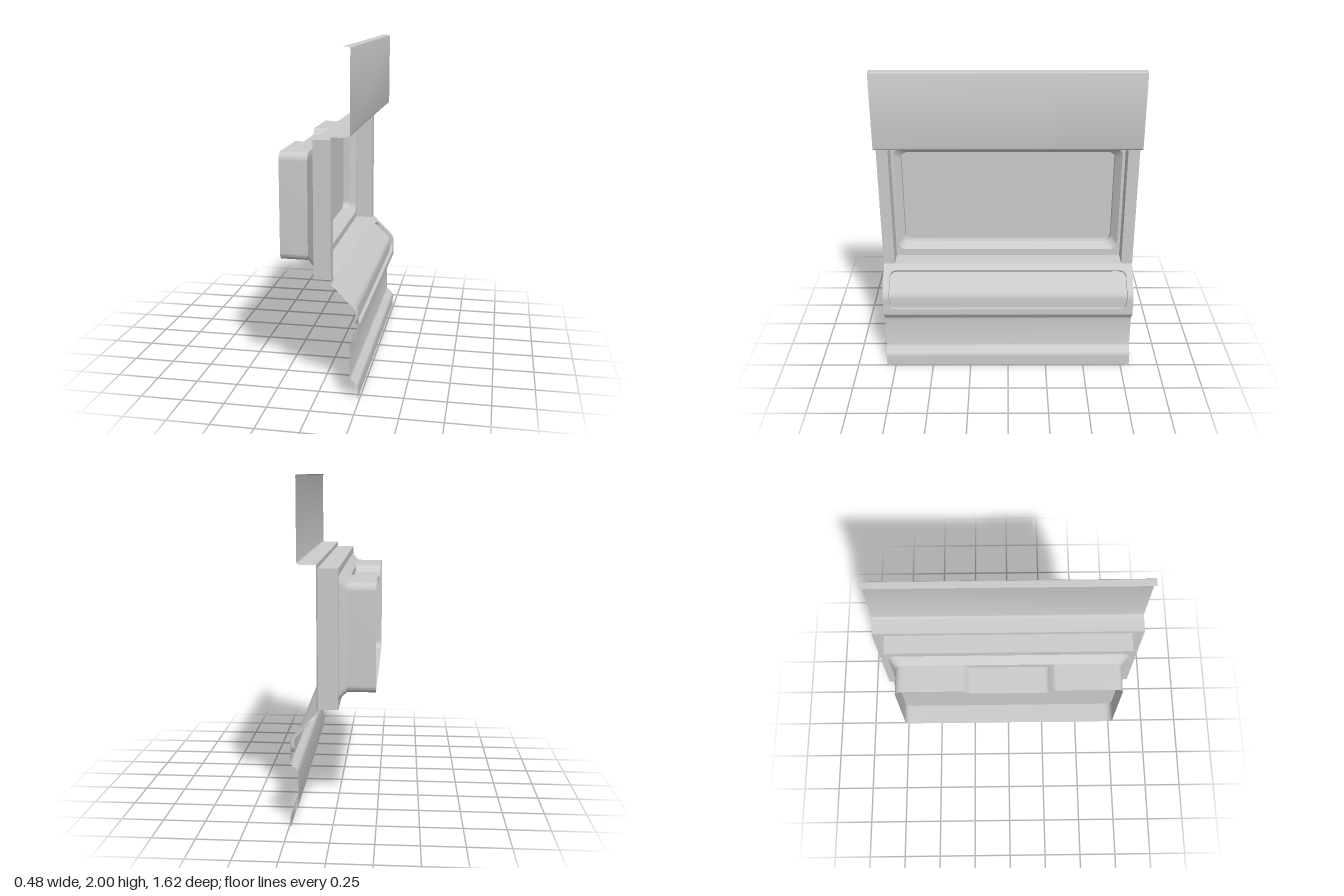
import * as THREE from 'three';
import { toCreasedNormals } from 'three/addons/utils/BufferGeometryUtils.js';

const HALF = 0.81; // half length of the sheet along z
const material = new THREE.MeshStandardMaterial({ color: 0xcccccc, side: THREE.DoubleSide });

// Skin a surface through rows of [x, y, z] points
function skin(rows) {
  const n = rows[0].length, index = [];
  for (let i = 0; i < rows.length - 1; i++) {
    for (let j = 0; j < n - 1; j++) {
      const a = i * n + j, b = a + n;
      index.push(a, b, a + 1, b, b + 1, a + 1);
    }
  }
  const g = new THREE.BufferGeometry();
  g.setAttribute('position', new THREE.Float32BufferAttribute(rows.flat(2), 3));
  g.setIndex(index);
  return toCreasedNormals(g, 0.5);
}

// Profile of [x, y, bendRadius] corners, with each bend rounded
function bend(corners) {
  const out = [];
  corners.forEach(([x, y, r], i) => {
    if (!r) return out.push([x, y]);
    const c = new THREE.Vector2(x, y);
    const toward = (k) => new THREE.Vector2(corners[k][0], corners[k][1]).sub(c).setLength(r).add(c);
    const curve = new THREE.QuadraticBezierCurve(toward(i - 1), c, toward(i + 1));
    curve.getPoints(6).forEach((p) => out.push([p.x, p.y]));
  });
  return out;
}

const ribbon = (corners) => skin(bend(corners).map(([x, y]) => [[x, y, HALF], [x, y, -HALF]]));

// Rounded rectangle outline in (z, y), optionally with a notch in its top edge
function outline(w, y0, y1, r, notch = false) {
  const s = new THREE.Shape();
  s.moveTo(-w + r, y0).lineTo(w - r, y0);
  s.absarc(w - r, y0 + r, r, -Math.PI / 2, 0);
  s.absarc(w - r, y1 - r, r, 0, Math.PI / 2);
  if (notch) {
    for (const [z, y, dx0, dy0, dx1, dy1] of [
      [0.27, y1, 0.012, 0, -0.008, -0.008], [0.23, y1 - 0.04, 0.008, 0.008, -0.012, 0],
      [-0.23, y1 - 0.04, 0.012, 0, -0.008, 0.008], [-0.27, y1, 0.008, -0.008, -0.012, 0],
    ]) s.lineTo(z + dx0, y + dy0).quadraticCurveTo(z, y, z + dx1, y + dy1);
  }
  s.absarc(-w + r, y1 - r, r, Math.PI / 2, Math.PI);
  s.absarc(-w + r, y0 + r, r, Math.PI, Math.PI * 1.5);
  return s;
}

const rect = (w, y0, y1) => new THREE.Shape([[-w, y0], [w, y0], [w, y1], [-w, y1]].map((p) => new THREE.Vector2(...p)));

// Flat plate facing +x
const plate = (shape, x) => new THREE.ShapeGeometry(shape, 8).rotateY(Math.PI / 2).translate(x, 0, 0);

// Closed wall running between two outlines at different depths
function wall(shapeA, xA, shapeB, xB) {
  const loop = (s, x) => {
    const pts = s.getPoints(8).map((p) => [x, p.y, -p.x]);
    return [...pts, pts[0]];
  };
  return skin([loop(shapeA, xA), loop(shapeB, xB)]);
}

export function createModel() {
  const model = new THREE.Group();
  const add = (name, geometry) => {
    const mesh = new THREE.Mesh(geometry, material);
    mesh.name = name;
    model.add(mesh);
  };

  // Folded sheet above and below the opening
  add('upperPanel', ribbon([[0.145, 2], [0.193, 2, 0.01], [0.193, 1.517, 0.022], [0.085, 1.517]]));
  add('lowerPanel', ribbon([[0.239, 0.4], [0.239, 0.385, 0.014], [0.193, 0.345, 0.02],
    [0.193, 0.125, 0.014], [0.239, 0.08, 0.014], [0.239, 0]]));

  // Flat face around the recess
  const opening = rect(0.738, 0.685, 1.49);
  const face = rect(HALF, 0.685, 1.517);
  face.holes.push(opening);
  add('openingFace', plate(face, 0.085));

  // Square outer recess
  add('recessWall', wall(opening, 0.085, opening, -0.03));
  const rim = outline(0.72, 0.73, 1.445, 0.05);
  const back = rect(0.738, 0.685, 1.49);
  back.holes.push(rim);
  add('recessBack', plate(back, -0.03));

  // Bevel leading into the tub, which is open behind and closed by a panel part way down
  add('tubBevel', wall(rim, -0.03, outline(0.68, 0.768, 1.403, 0.045), -0.075));
  const tub = outline(0.68, 0.768, 1.403, 0.045, true);
  add('tubWall', wall(tub, -0.075, tub, -0.24));
  add('tubPanel', plate(tub, -0.118));
  const cap = new THREE.Shape().moveTo(-0.27, 1.403).lineTo(-0.23, 1.363).lineTo(0.23, 1.363).lineTo(0.27, 1.403);
  add('notchCap', plate(cap, -0.075));

  // Sloped shelf that bends smoothly to vertical: x as a function of y
  const front = 0.239, h = 0.06, bendStart = 0.77 - front - h / 2;
  const shelfX = (y) => {
    const d = y - bendStart;
    return d <= 0 ? front : d < h ? front - d * d / (2 * h) : 0.77 - y;
  };
  const low = 0.432, high = 0.652, depth = 0.021;
  const sunk = (y) => {
    const slope = THREE.MathUtils.clamp((y - bendStart) / h, 0, 1), l = Math.hypot(1, slope);
    return [shelfX(y) - depth / l, y - depth * slope / l];
  };

  // Heights through the pocket, closer together in the corners and the bend
  const stations = [];
  const rLow = 0.045, rHigh = 0.032, rSide = 0.045;
  for (let i = 0; i <= 8; i++) {
    const a = i / 8 * Math.PI / 2;
    stations.push([low + rLow * (1 - Math.cos(a)), 0.77 - rSide * (1 - Math.sin(a))]);
    stations.push([high - rHigh * (1 - Math.cos(a)), 0.77 - rSide * (1 - Math.sin(a))]);
    stations.push([bendStart + h * i / 8, 0.77]);
  }
  stations.sort((a, b) => a[0] - b[0]);
  const bottom = stations[0], top = stations[stations.length - 1];

  // Shelf strips around the pocket
  const edge = [[0.4, bottom[1]], ...stations, [0.685, top[1]]];
  for (const side of [1, -1]) {
    add('shelfEdge', skin(edge.map(([y, w]) => [[shelfX(y), y, side * HALF], [shelfX(y), y, side * w]])));
    add('pocketSide', skin(stations.map(([y, w]) => [[shelfX(y), y, side * w], [...sunk(y), side * w]])));
  }
  const span = (y, w) => [[shelfX(y), y, w], [shelfX(y), y, -w]];
  add('shelfTop', skin([span(high, top[1]), span(0.685, top[1])]));
  add('shelfBottom', skin([span(0.4, bottom[1]), span(low, bottom[1])]));

  // Sunken pocket floor with its end walls
  add('pocketFloor', skin(stations.map(([y, w]) => [[...sunk(y), w], [...sunk(y), -w]])));
  for (const [y, w] of [bottom, top]) {
    add('pocketEnd', skin([span(y, w), [[...sunk(y), w], [...sunk(y), -w]]]));
  }
  return model;
}
